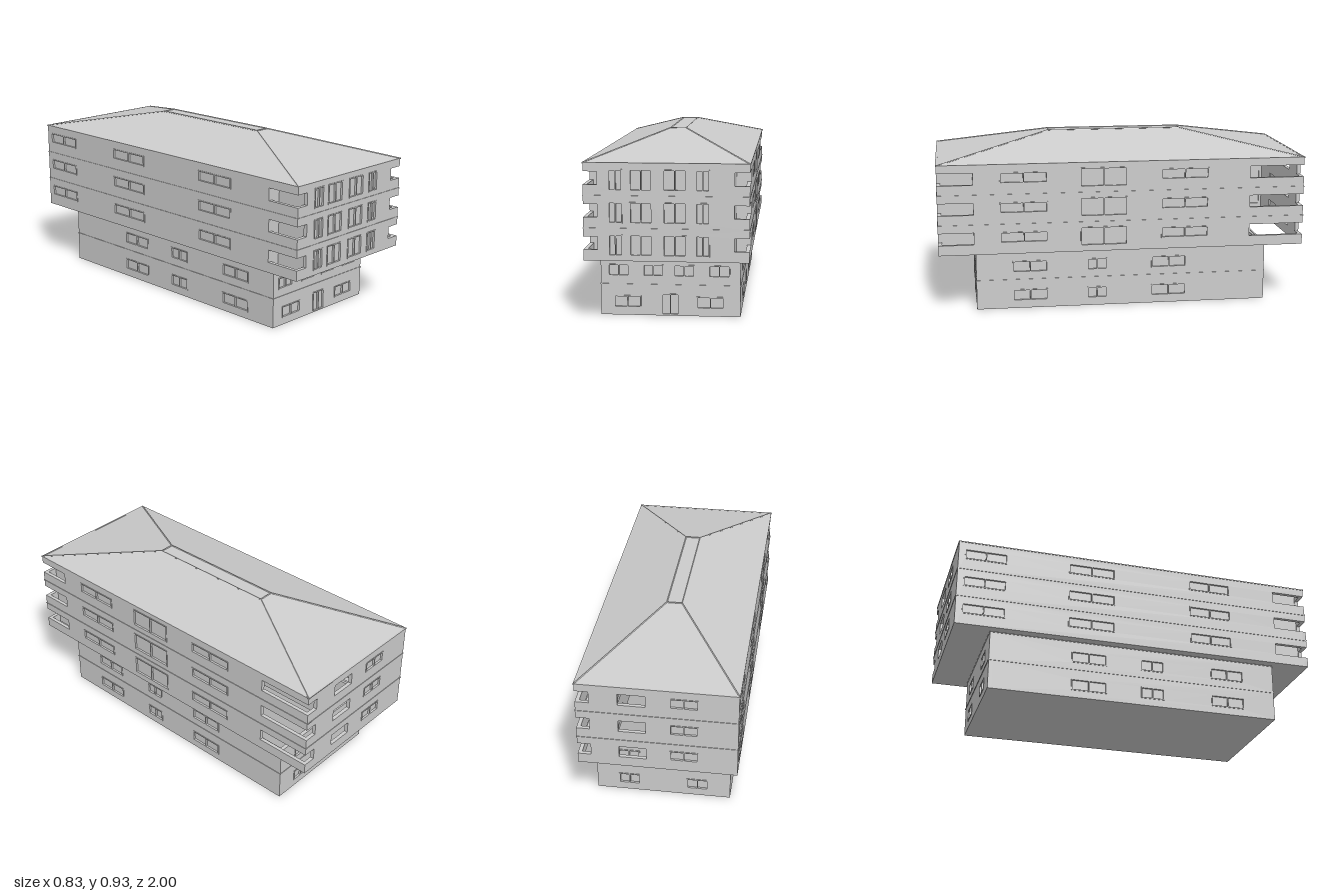
import * as THREE from 'three';

const mat = new THREE.MeshStandardMaterial({ color: 0xcccccc, flatShading: true });
const T = 0.02; // wall thickness

function add(parent, name, geo, x = 0, y = 0, z = 0) {
  const m = new THREE.Mesh(geo, mat);
  m.name = name;
  m.position.set(x, y, z);
  parent.add(m);
  return m;
}
const box = (parent, name, w, h, d, x, y, z) =>
  add(parent, name, new THREE.BoxGeometry(w, h, d), x, y, z);

// Framed opening filled with recessed panes; coordinates lie in the wall plane
function glazing(parent, name, [u0, u1, v0, v1], panes = 2) {
  const g = new THREE.Group();
  g.name = name;
  const w = u1 - u0, h = v1 - v0, cu = (u0 + u1) / 2, cv = (v0 + v1) / 2, f = 0.006;
  box(g, 'pane', w, h, 0.004, cu, cv, -0.01);
  for (const v of [v0 + f / 2, v1 - f / 2]) box(g, 'rail', w, f, 0.015, cu, v, -0.0045);
  for (let i = 0; i <= panes; i++) {
    const u = u0 + f / 2 + (w - f) * i / panes;
    box(g, 'stile', f, h, 0.015, u, cv, -0.0045);
  }
  parent.add(g);
}

// One storey of one facade: glazed and empty holes, and notches at open corners
function facade(half, H, { windows = [], voids = [], door, notchL = 0, notchR = 0 }) {
  const g = new THREE.Group();
  const n0 = 0.055, n1 = 0.12;
  const pts = [[-half, 0], [half, 0]];
  if (notchR) pts.push([half, n0], [half - notchR, n0], [half - notchR, n1], [half, n1]);
  pts.push([half, H], [-half, H]);
  if (notchL) pts.push([-half, n1], [-half + notchL, n1], [-half + notchL, n0], [-half, n0]);
  const shape = new THREE.Shape(pts.map(p => new THREE.Vector2(...p)));
  for (const [a, b, c, d] of [...windows, ...voids, ...(door ? [door] : [])]) {
    shape.holes.push(new THREE.Path([[a, c], [a, d], [b, d], [b, c]].map(p => new THREE.Vector2(...p))));
  }
  add(g, 'wall', new THREE.ExtrudeGeometry(shape, { depth: T, bevelEnabled: false }), 0, 0, -T);
  windows.forEach(w => glazing(g, 'window', w));
  if (door) glazing(g, 'door', door);
  return g;
}

// Four facades around a storey; spans are given in world x or z
function storey(name, X, Z, y, H, sides) {
  const g = new THREE.Group();
  g.name = name;
  g.position.y = y;
  const setup = {
    front: [0, 1, X, Z], right: [Math.PI / 2, -1, Z, X],
    back: [Math.PI, -1, X, Z], left: [-Math.PI / 2, 1, Z, X],
  };
  for (const [side, [angle, s, half, dist]] of Object.entries(setup)) {
    const spec = { ...sides[side] };
    const flip = r => (s > 0 ? r : [-r[1], -r[0], r[2], r[3]]);
    spec.windows = (spec.windows || []).map(flip);
    spec.voids = (spec.voids || []).map(flip);
    const f = facade(half, H, spec);
    f.name = side + 'Facade';
    f.rotation.y = angle;
    f.position.set(Math.sin(angle) * dist, 0, Math.cos(angle) * dist);
    g.add(f);
  }
  // thin string course along the top edge
  for (const s of [-1, 1]) {
    box(g, 'stringCourse', 2 * X + 0.006, 0.005, 0.01, 0, H, s * (Z - 0.002));
    box(g, 'stringCourse', 0.01, 0.005, 2 * Z, s * (X - 0.002), H, 0);
  }
  return g;
}

// Downward-facing underside
function soffit(parent, name, X, Z, y) {
  add(parent, name, new THREE.PlaneGeometry(2 * X, 2 * Z), 0, y, 0).rotation.x = Math.PI / 2;
}

// Hipped roof with a narrow flat ridge
function roof(X, Z, y0, y1) {
  const g = new THREE.Group();
  g.name = 'roof';
  const e = [[-X, y0, Z], [X, y0, Z], [X, y0, -Z], [-X, y0, -Z]];
  const t = [[-0.042, y1, 0.375], [0.042, y1, 0.375], [0.042, y1, -0.365], [-0.042, y1, -0.365]];
  const pos = [];
  const quad = (a, b, c, d) => pos.push(...a, ...b, ...c, ...a, ...c, ...d);
  for (let i = 0; i < 4; i++) quad(e[i], e[(i + 1) % 4], t[(i + 1) % 4], t[i]);
  quad(...t);
  const geo = new THREE.BufferGeometry();
  geo.setAttribute('position', new THREE.Float32BufferAttribute(pos, 3));
  geo.computeVertexNormals();
  add(g, 'roofSlopes', geo);
  // hip and ridge caps
  const cap = (a, b) => {
    const path = new THREE.LineCurve3(new THREE.Vector3(...a), new THREE.Vector3(...b));
    add(g, 'ridgeCap', new THREE.TubeGeometry(path, 1, 0.004, 4));
  };
  for (let i = 0; i < 4; i++) {
    cap(e[i], t[i]);
    cap(t[i], t[(i + 1) % 4]);
  }
  return g;
}

export function createModel() {
  const model = new THREE.Group();
  model.name = 'apartmentBuilding';
  const row = (v0, v1, spans) => spans.map(([a, b]) => [a, b, v0, v1]);

  // Narrower two-storey base
  const bx = 0.358, bz = 0.797, bh = 0.16;
  const baseSides = {
    right: { windows: row(0.04, 0.105, [[0.41, 0.6], [0.085, 0.195], [-0.355, -0.16]]) },
    left: { windows: row(0.04, 0.105, [[0.43, 0.62], [0.03, 0.16], [-0.355, -0.16]]) },
    back: { windows: row(0.04, 0.105, [[-0.24, -0.125], [0.125, 0.24]]) },
  };
  model.add(storey('groundStorey', bx, bz, 0, bh, {
    ...baseSides,
    front: { windows: row(0.038, 0.102, [[-0.29, -0.15], [0.135, 0.275]]), door: [-0.045, 0.045, 0.003, 0.115] },
  }));
  model.add(storey('firstStorey', bx, bz, bh, bh, {
    ...baseSides,
    front: { windows: row(0.042, 0.105, [[-0.32, -0.212], [-0.14, -0.035], [0.018, 0.125], [0.195, 0.305]]) },
  }));
  soffit(model, 'baseUnderside', bx, bz, 0);

  // Three wider storeys with open corner balconies
  const ux = 0.41, uz = 0.995, uy = 0.32, uh = 0.1617;
  for (let i = 0; i < 3; i++) {
    model.add(storey('upperStorey' + (i + 1), ux, uz, uy + i * uh, uh, {
      front: {
        windows: row(0.025, 0.132, [[-0.285, -0.215], [-0.18, -0.068], [-0.015, 0.1], [0.145, 0.215]]),
        notchL: 0.07, notchR: 0.075,
      },
      right: {
        windows: [...row(0.06, 0.12, [[0.41, 0.665], [-0.465, -0.205]]), [-0.02, 0.235, 0.03, 0.135]],
        notchL: 0.19, notchR: 0.3,
      },
      back: {
        windows: row(0.06, 0.12, [[-0.21, -0.065]]),
        voids: row(0.055, 0.12, [[0.055, 0.195]]),
        notchL: 0.07,
      },
      left: {
        windows: row(0.06, 0.12, [[-0.96, -0.73], [-0.39, -0.13], [0.3, 0.54]]),
        notchR: 0.19,
      },
    }));
  }
  soffit(model, 'overhangUnderside', ux, uz, uy);

  // Inner walls behind the front corner balconies
  const ph = 3 * uh;
  for (const s of [-1, 1]) {
    box(model, 'balconyBackWall', 0.08, ph, 0.01, s * 0.369, uy + ph / 2, 0.8);
    box(model, 'balconySideWall', 0.01, ph, 0.19, s * 0.33, uy + ph / 2, 0.89);
  }

  model.add(roof(0.413, 0.997, 0.805, 0.928));
  return model;
}
